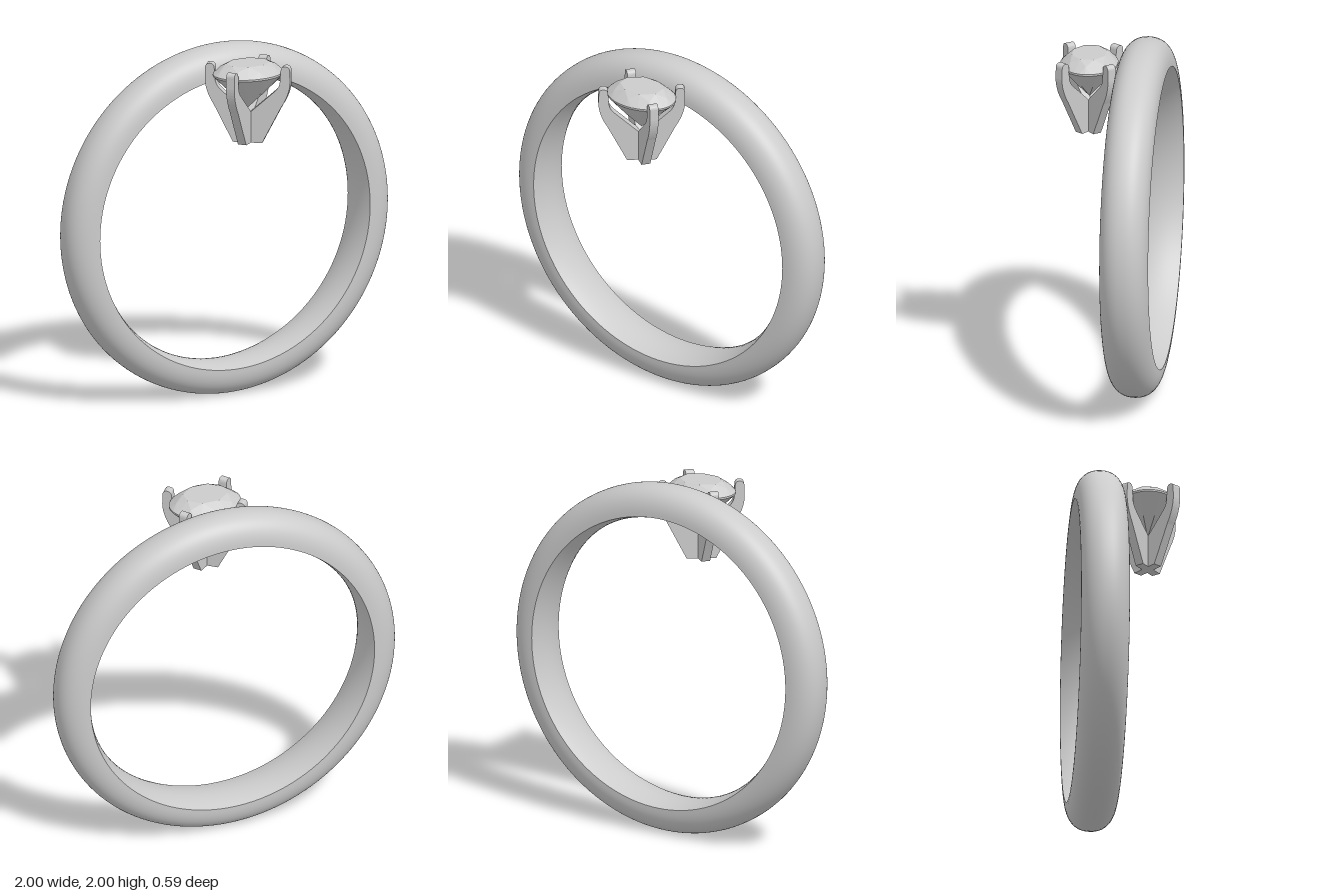
import * as THREE from 'three';
import { ConvexGeometry } from 'three/addons/geometries/ConvexGeometry.js';

const BAND_Z = -0.162;
const STONE_Z = 0.13;

export function createModel() {
  const model = new THREE.Group();
  const grey = new THREE.MeshStandardMaterial({ color: 0xcccccc });
  const faceted = new THREE.MeshStandardMaterial({ color: 0xcccccc, flatShading: true });

  const add = (name, geometry, material, parent = model) => {
    const mesh = new THREE.Mesh(geometry, material);
    mesh.name = name;
    parent.add(mesh);
    return mesh;
  };

  // Band: domed outside and gently convex inside, meeting in a crisp edge
  const band = new THREE.Group();
  band.name = 'band';
  band.position.set(0, 1, BAND_Z);
  band.rotation.x = Math.PI / 2;
  model.add(band);

  const half = 0.135, edge = 0.84;
  const outer = [], inner = [];
  for (let i = 0; i <= 28; i++) {
    const a = -Math.PI / 2 + (Math.PI * i) / 28;
    const c = Math.max(0, Math.cos(a)), s = Math.sin(a);
    outer.push(new THREE.Vector2(
      edge + 0.16 * Math.pow(c, 0.88),
      half * Math.sign(s) * Math.pow(Math.abs(s), 0.88)));
  }
  for (let i = 0; i <= 10; i++) {
    const t = 1 - i / 5;
    inner.push(new THREE.Vector2(edge - 0.026 * (1 - t * t), half * t));
  }
  add('bandOutside', new THREE.LatheGeometry(outer, 128), grey, band);
  add('bandInside', new THREE.LatheGeometry(inner, 128), grey, band);

  // Setting: four flat prongs crossing at the foot
  const setting = new THREE.Group();
  setting.name = 'setting';
  setting.position.z = STONE_Z;
  model.add(setting);

  const outline = new THREE.Shape();
  outline.moveTo(0, 1.505);
  outline.lineTo(0.082, 1.505);
  outline.lineTo(0.19, 1.715);
  outline.quadraticCurveTo(0.238, 1.79, 0.24, 1.86);
  outline.lineTo(0.238, 1.925);
  outline.quadraticCurveTo(0.236, 1.948, 0.212, 1.948);
  outline.quadraticCurveTo(0.19, 1.948, 0.187, 1.925);
  outline.lineTo(0.182, 1.86);
  outline.quadraticCurveTo(0.18, 1.83, 0.155, 1.805);
  outline.lineTo(0, 1.665);
  outline.closePath();
  const thick = 0.05;
  const prongGeometry = new THREE.ExtrudeGeometry(outline, {
    depth: thick, bevelEnabled: false, curveSegments: 8,
  });
  prongGeometry.translate(0, 0, -thick / 2);
  const lean = THREE.MathUtils.degToRad(38);
  [lean, Math.PI - lean, Math.PI + lean, -lean].forEach((angle, i) => {
    add('prong' + (i + 1), prongGeometry, grey, setting).rotation.y = angle;
  });

  // Stone: oval brilliant cut, formed as the hull of its facet corners
  const corners = [new THREE.Vector3(0, 1.702, 0)];
  const ring = (count, r, y, offset = 0) => {
    for (let i = 0; i < count; i++) {
      const a = ((i + offset) / count) * Math.PI * 2;
      corners.push(new THREE.Vector3(0.205 * r * Math.cos(a), y, 0.16 * r * Math.sin(a)));
    }
  };
  ring(8, 0.62, 1.957, 0.5); // table
  ring(8, 0.83, 1.932);      // crown
  ring(32, 1, 1.9);          // girdle top
  ring(32, 1, 1.89);         // girdle bottom
  ring(8, 0.5, 1.789, 0.5);  // pavilion
  add('stone', new ConvexGeometry(corners), faceted).position.z = STONE_Z;

  return model;
}
